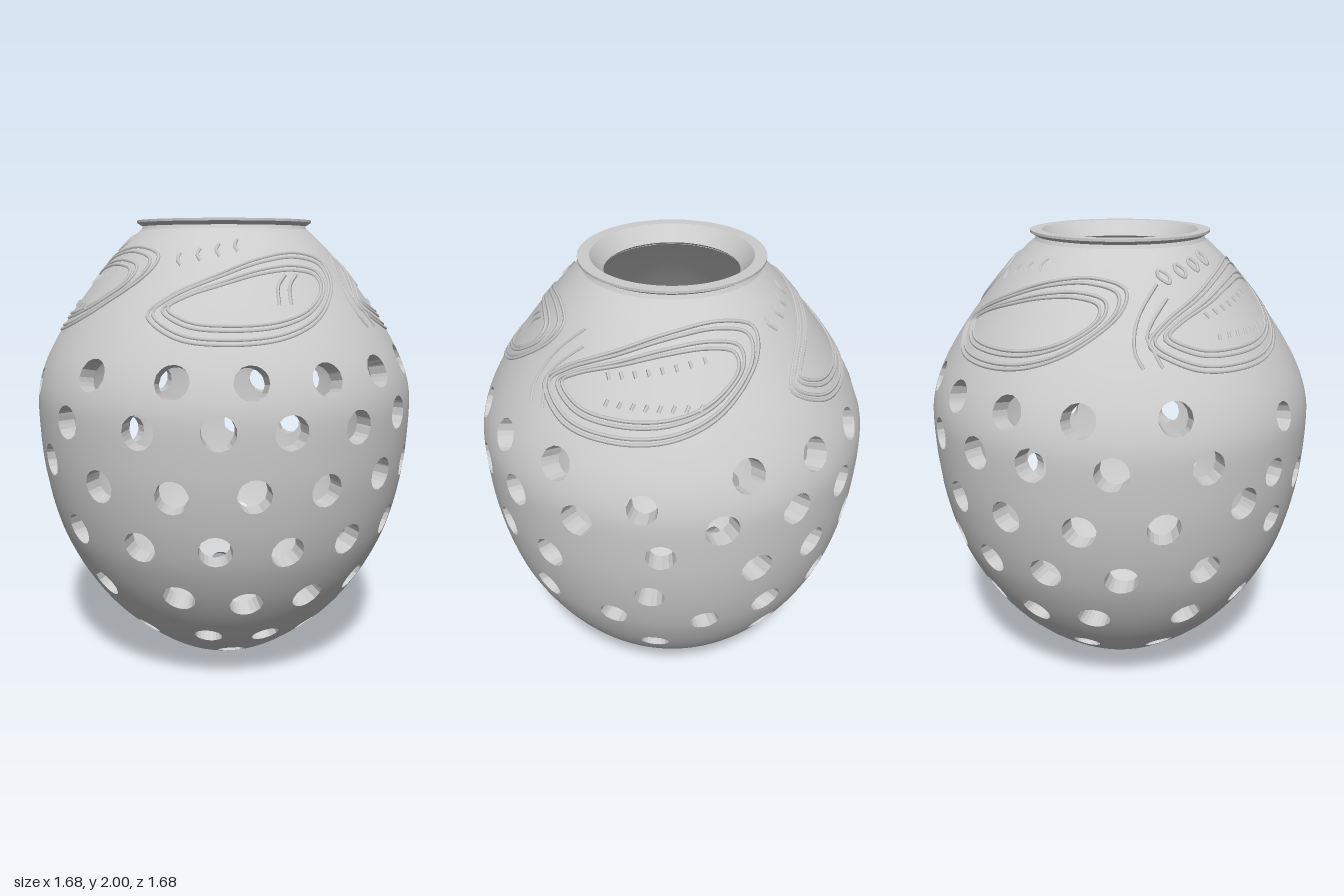
import * as THREE from 'three';

const V = (x, y, z) => new THREE.Vector3(x, y, z);
const SIDES = 192, ROWS = 76, WALL = 0.08;

// Outer profile of the body: radius, height
const profile = new THREE.SplineCurve([
  [0, 0], [0.1, 0.01], [0.2, 0.042], [0.31, 0.1], [0.45, 0.205], [0.56, 0.315], [0.66, 0.455], [0.735, 0.6],
  [0.777, 0.72], [0.808, 0.85], [0.83, 1], [0.84, 1.2], [0.83, 1.3], [0.797, 1.4], [0.745, 1.5], [0.68, 1.6],
  [0.605, 1.7], [0.525, 1.8], [0.45, 1.885], [0.37, 1.96],
].map(([r, y]) => new THREE.Vector2(r, y)));
const rows = profile.getSpacedPoints(ROWS);
const rowNormals = rows.map((p, j) => {
  if (j === 0) return new THREE.Vector2(0, -1);
  const t = rows[Math.min(j + 1, ROWS)].clone().sub(rows[j - 1]).normalize();
  return new THREE.Vector2(t.y, -t.x);
});

// Radius and normal of the outer skin at height y
function skinAt(y) {
  let j = 0;
  while (j < ROWS - 1 && rows[j + 1].y < y) j++;
  const f = THREE.MathUtils.clamp((y - rows[j].y) / (rows[j + 1].y - rows[j].y), 0, 1);
  return { r: THREE.MathUtils.lerp(rows[j].x, rows[j + 1].x, f), n: rowNormals[j].clone().lerp(rowNormals[j + 1], f).normalize() };
}
const spin = (p, a) => V(p.x * Math.sin(a), p.y, p.x * Math.cos(a));

// Holes: x positions and heights, repeated front and back
const frontHoles = [
  [-0.64, 1.39], [-0.36, 1.385], [-0.07, 1.385], [0.24, 1.385], [0.5, 1.395], [0.7, 1.41],
  [-0.74, 1.19], [-0.49, 1.19], [-0.2, 1.2], [0.08, 1.195], [0.38, 1.19], [0.62, 1.21], [0.79, 1.21],
  [-0.8, 1.0], [-0.63, 0.95], [-0.37, 0.94], [-0.06, 0.95], [0.24, 0.95], [0.52, 0.97], [0.71, 0.97],
  [-0.7, 0.72], [-0.48, 0.71], [-0.2, 0.715], [0.09, 0.7], [0.37, 0.71], [0.62, 0.72],
  [-0.59, 0.46], [-0.32, 0.475], [-0.05, 0.45], [0.22, 0.455], [0.48, 0.465],
  [-0.4, 0.215], [-0.17, 0.24], [0.08, 0.23], [0.3, 0.22], [-0.03, 0.085],
];
// Holes on the flanks: z positions and heights
const bothFlanks = [[0.02, 1.31], [-0.05, 1.09], [0, 0.86], [0, 0.465], [0.02, 0.22]];
const leftFlank = [[0.16, 0.7], [-0.22, 0.68]];

const holes = [];
function addHole(angle, y, radius) {
  const { r, n } = skinAt(y);
  holes.push({ c: spin({ x: r, y }, angle), n: spin(n, angle), radius });
}
for (const [x, y] of frontHoles) {
  const a = Math.asin(x / skinAt(y).r), radius = y < 0.3 ? 0.061 : 0.07;
  addHole(a, y, radius);
  addHole(Math.PI - a, y, radius);
}
for (const [z, y] of [...bothFlanks, ...leftFlank]) addHole(Math.acos(z / skinAt(y).r), y, 0.062);
for (const [z, y] of bothFlanks) addHole(-Math.acos(z / skinAt(y).r), y, 0.062);

// Distance from a skin point to the nearest hole edge, negative inside a hole
function holeDistance(p) {
  let best = 1;
  for (const { c, n, radius } of holes) {
    const d = p.clone().sub(c), along = d.dot(n);
    if (along < -0.25) continue;
    best = Math.min(best, Math.sqrt(Math.max(0, d.lengthSq() - along * along)) - radius);
  }
  return best;
}

function makeMesh(name, geometry, material) {
  const mesh = new THREE.Mesh(geometry, material);
  mesh.name = name;
  return mesh;
}

// Pierced wall: grid triangles are clipped at the hole edges, then both skins are joined there
function buildBody(material) {
  const grid = rows.map((p, j) => Array.from({ length: SIDES }, (_, i) => {
    const a = i / SIDES * Math.PI * 2, o = spin(p, a), n = spin(rowNormals[j], a);
    // Sleeves run flatter than the skin normal and lean towards the front-back axis
    const lean = 0.2 * Math.sin(2 * a) * Math.min(1, p.x / 0.4);
    const dir = spin({ x: rowNormals[j].x, y: rowNormals[j].y * 0.45 }, a - lean).normalize();
    const inner = o.clone().addScaledVector(dir, -WALL / dir.dot(n));
    return { o, n, inner, d: holeDistance(o) };
  }));
  const outer = { p: [], n: [] }, inside = { p: [], n: [] }, sleeves = { p: [] };
  const cut = (a, b) => {
    const f = a.d / (a.d - b.d);
    return { o: a.o.clone().lerp(b.o, f), n: a.n.clone().lerp(b.n, f).normalize(), inner: a.inner.clone().lerp(b.inner, f) };
  };
  function triangle(...t) {
    const poly = [];
    let leave, enter;
    t.forEach((a, k) => {
      const b = t[(k + 1) % 3];
      if (a.d > 0) poly.push(a);
      if (a.d > 0 && b.d <= 0) poly.push(leave = cut(a, b));
      if (a.d <= 0 && b.d > 0) poly.push(enter = cut(a, b));
    });
    for (let k = 1; k < poly.length - 1; k++) {
      for (const v of [poly[0], poly[k], poly[k + 1]]) {
        outer.p.push(...v.o);
        outer.n.push(...v.n);
      }
      for (const v of [poly[0], poly[k + 1], poly[k]]) {
        inside.p.push(...v.inner);
        inside.n.push(-v.n.x, -v.n.y, -v.n.z);
      }
    }
    if (leave && enter) {
      for (const v of [leave.inner, enter.inner, enter.o, leave.inner, enter.o, leave.o]) sleeves.p.push(...v);
    }
  }
  for (let j = 0; j < ROWS; j++) for (let i = 0; i < SIDES; i++) {
    const k = (i + 1) % SIDES, [a, b, c, d] = [grid[j][i], grid[j][k], grid[j + 1][k], grid[j + 1][i]];
    if (j > 0) triangle(a, b, c);
    triangle(a, c, d);
  }
  const toGeometry = ({ p, n }) => {
    const g = new THREE.BufferGeometry();
    g.setAttribute('position', new THREE.Float32BufferAttribute(p, 3));
    if (n) g.setAttribute('normal', new THREE.Float32BufferAttribute(n, 3));
    else g.computeVertexNormals();
    return g;
  };
  const body = new THREE.Group();
  body.name = 'piercedBody';
  body.add(makeMesh('outerSkin', toGeometry(outer), material), makeMesh('innerSkin', toGeometry(inside), material),
    makeMesh('holeSleeves', toGeometry(sleeves), material));
  return body;
}

// Thin raised line following the shoulder; points are sideways offset and height about a facing angle
function strand(points, facing, closed, material, name) {
  const path = new THREE.CatmullRomCurve3(points.map(([s, y]) => V(s, y, 0)), closed);
  const onSkin = path.getPoints(closed ? 64 : 10).map((p) => {
    const { r } = skinAt(p.y);
    return spin({ x: r, y: p.y }, facing + Math.asin(THREE.MathUtils.clamp(p.x / r, -1, 1)));
  });
  if (closed) onSkin.pop();
  const curve = new THREE.CatmullRomCurve3(onSkin, closed);
  return makeMesh(name, new THREE.TubeGeometry(curve, closed ? 96 : 12, 0.008, 5, closed), material);
}

const leaf = [[-0.42, 1.62], [-0.34, 1.545], [-0.15, 1.52], [0.1, 1.545], [0.26, 1.62], [0.35, 1.74],
  [0.33, 1.82], [0.21, 1.86], [0.04, 1.84], [-0.15, 1.775], [-0.34, 1.69]];

function buildLeaf(facing, size, lift, details, material) {
  const group = new THREE.Group();
  group.name = 'shoulderLeaf';
  const place = ([s, y], k = 1, ky = k) => [s * k * size, 1.69 + lift + (y - 1.69) * ky * size];
  const line = (pts, name) => group.add(strand(pts.map((p) => place(p)), facing, false, material, name));
  // Concentric outlines, evenly inset on all sides
  for (const inset of [0, 0.018, 0.05, 0.068]) {
    group.add(strand(leaf.map((p) => place(p, 1 - inset / 0.38, 1 - inset / 0.17)), facing, true, material, 'leafOutline'));
  }
  if (details.bands) for (const s of [0.08, 0.13]) {
    line([[s + 0.05, 1.775], [s + 0.01, 1.73], [s, 1.66]], 'leafBand');
  }
  if (details.stitches) for (let i = 0; i < 8; i++) {
    const s = -0.17 + i * 0.048;
    line([[s, 1.62], [s + 0.01, 1.64]], 'lowerStitch');
    line([[s, 1.715 + i * 0.008], [s + 0.01, 1.695 + i * 0.008]], 'upperStitch');
  }
  if (details.ticks) for (let i = 0; i < 4; i++) {
    const s = -0.27 + i * 0.075, y = 1.81 + i * 0.018;
    line([[s, y], [s - 0.01, y + 0.025], [s + 0.005, y + 0.05]], 'tickAbove');
  }
  if (details.beads) for (let i = 0; i < 4; i++) {
    const s = -0.23 + i * 0.075, y = 1.84 + i * 0.015;
    const ring = [[-0.018, 0], [0, -0.022], [0.018, 0], [0, 0.022]].map(([a, b]) => place([s + a, y + b]));
    group.add(strand(ring, facing, true, material, 'beadAbove'));
  }
  return group;
}

export function createModel() {
  const model = new THREE.Group();
  model.name = 'piercedVase';
  const clay = new THREE.MeshStandardMaterial({ color: 0xcccccc });
  model.add(buildBody(clay));

  // Flared lip with a bevelled mouth; each section keeps its edges sharp
  const lip = new THREE.Group();
  lip.name = 'lip';
  const section = [[0.37, 1.955], [0.36, 1.975], [0.385, 1.99], [0.385, 2], [0.335, 2], [0.28, 1.935], [0.29, 1.925]]
    .map(([r, y]) => new THREE.Vector2(r, y));
  for (let i = 0; i < section.length - 1; i++) {
    lip.add(makeMesh('lipRing', new THREE.LatheGeometry([section[i], section[i + 1]], 96), clay));
  }
  model.add(lip);

  // Four leaf motifs around the shoulder
  const q = Math.PI / 2;
  model.add(
    buildLeaf(0, 1, 0, { bands: true, ticks: true }, clay),
    buildLeaf(q, 1.06, 0.02, { stitches: true }, clay),
    buildLeaf(2 * q, 1, 0, { ticks: true }, clay),
    buildLeaf(3 * q, 1.05, 0.015, { stitches: true, beads: true }, clay),
  );
  // Loose curls in two opposite gaps between the motifs
  for (const facing of [0, 2 * q]) {
    for (const s of [0, 0.05]) {
      model.add(strand([[0.4 + s, 1.84 - s], [0.41 + s, 1.72 - s], [0.45 + s, 1.62], [0.5 + s, 1.56]], facing, false, clay, 'shoulderCurl'));
    }
  }
  return model;
}
